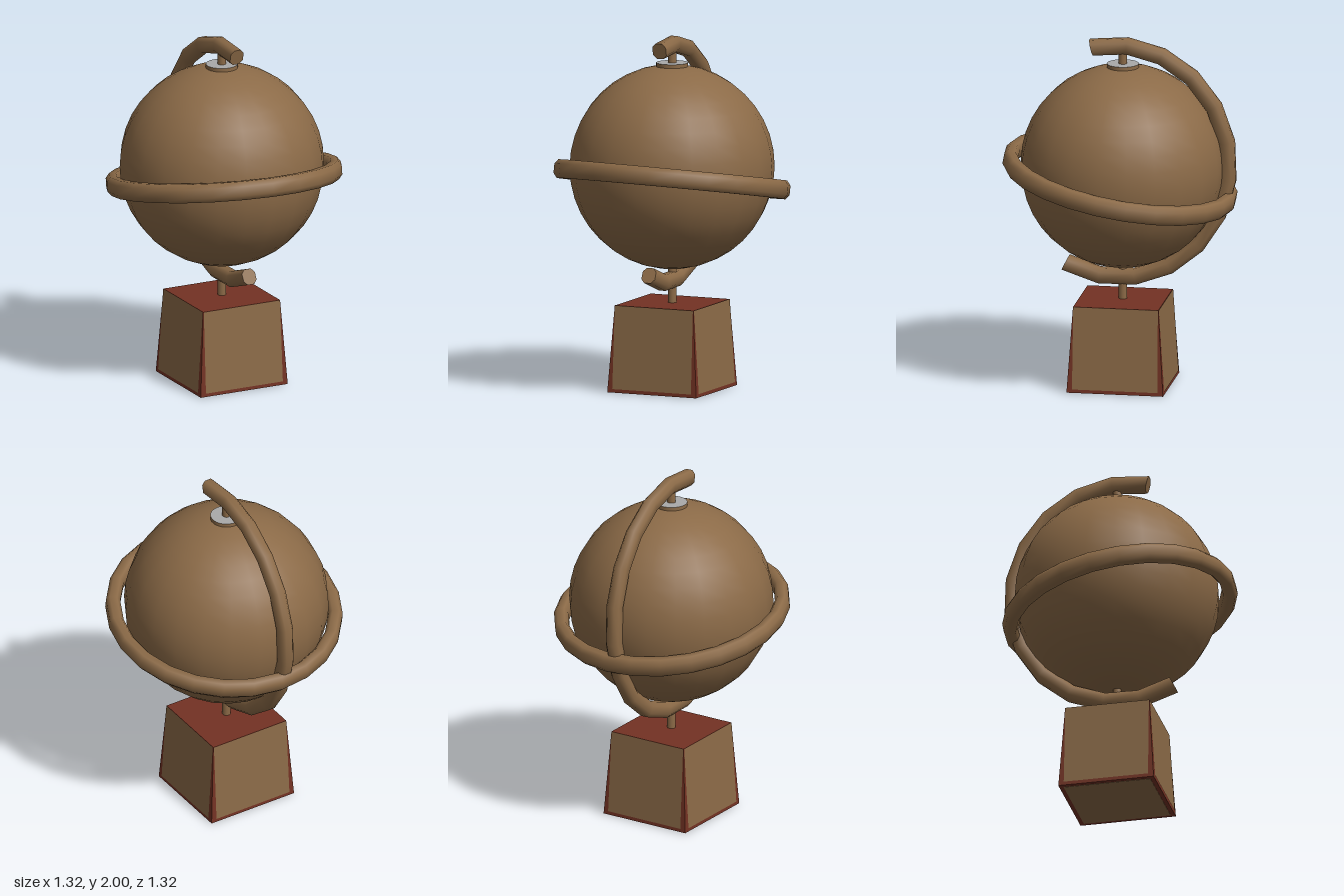
import * as THREE from 'three';
import { toCreasedNormals } from 'three/addons/utils/BufferGeometryUtils.js';

// Sweeps a bevelled bar (radial thickness x width) along an ellipse in the XY plane.
function sweptBar(rx, ry, t0, t1, steps, thick, width, closed) {
  const a = thick / 2, b = width / 2, k = 0.5;
  const section = [[a, -b * k], [a, b * k], [a * k, b], [-a * k, b],
    [-a, b * k], [-a, -b * k], [-a * k, -b], [a * k, -b]];
  const n = section.length, pos = [], index = [];
  const rows = closed ? steps : steps + 1;
  for (let i = 0; i < rows; i++) {
    const t = t0 + (t1 - t0) * i / steps, c = Math.cos(t), s = Math.sin(t);
    for (const [r, w] of section) pos.push(c * (rx + r), s * (ry + r), w);
  }
  for (let i = 0; i < steps; i++) {
    const p = i * n, q = ((i + 1) % rows) * n;
    for (let j = 0; j < n; j++) {
      const m = (j + 1) % n;
      index.push(p + j, q + j, q + m, p + j, q + m, p + m);
    }
  }
  if (!closed) {
    const e = steps * n;
    for (let j = 1; j < n - 1; j++) index.push(0, j, j + 1, e, e + j + 1, e + j);
  }
  const g = new THREE.BufferGeometry();
  g.setAttribute('position', new THREE.Float32BufferAttribute(pos, 3));
  g.setIndex(index);
  return toCreasedNormals(g, 0.95);
}

export function createModel() {
  const model = new THREE.Group();
  const mat = (name, color) => {
    const m = new THREE.MeshStandardMaterial({ color });
    m.name = name;
    return m;
  };
  const brown = mat('brown wood', 0x8b6a47);
  const red = mat('red wood', 0x733223);
  const grey = mat('grey metal', 0xaaaaaa);
  const AX = -0.016, AZ = -0.009;

  const add = (name, geometry, material, x, y, z) => {
    const mesh = new THREE.Mesh(geometry, material);
    mesh.name = name;
    mesh.position.set(x, y, z);
    model.add(mesh);
    return mesh;
  };

  // Globe on its vertical pin
  add('globe', new THREE.SphereGeometry(0.576, 22, 20), brown, AX, 1.26, AZ);
  add('pin', new THREE.CylinderGeometry(0.024, 0.024, 1.44, 12), brown, AX, 1.21, AZ);
  add('poleCap', new THREE.CylinderGeometry(0.09, 0.09, 0.03, 24), [brown, grey, brown], AX, 1.835, AZ);

  // Tilted horizon ring
  const ring = add('horizonRing', sweptBar(0.626, 0.626, 0, Math.PI * 2, 24, 0.08, 0.105, true),
    brown, 0, 1.19, -0.005);
  ring.quaternion.setFromUnitVectors(new THREE.Vector3(0, 0, 1),
    new THREE.Vector3(-0.14, 1, -0.125).normalize());

  // Curved arm holding the pin above and below the globe
  const ux = 0.817, uz = 0.576, shift = 0.033;
  const arm = add('meridianArm', sweptBar(0.635, 0.672, 1.34, 5.19, 12, 0.09, 0.082, false),
    brown, AX + ux * shift, 1.283, AZ + uz * shift);
  arm.rotation.y = -Math.atan2(uz, ux);

  // Tapered square base
  const H = 0.49, R0 = 0.388, R1 = 0.343, turn = 0.155;
  add('base', toCreasedNormals(new THREE.CylinderGeometry(R1, R0, H, 4, 1, false, turn), 0.5),
    red, AX, H / 2, AZ);

  // Side panels, leaving a border that narrows towards the top
  const corner = (i, y, off) => {
    const t = turn + i * Math.PI / 2, r = R0 + (R1 - R0) * y / H + off;
    return new THREE.Vector3(Math.sin(t) * r, y, Math.cos(t) * r);
  };
  const edge = (i, s, y) => corner(i, y, 0.004).lerp(corner(i + 1, y, 0.004), s);
  for (let i = 0; i < 4; i++) {
    const quad = [edge(i, 0.06, 0.02), edge(i, 0.94, 0.02), edge(i, 0.99, H), edge(i, 0.01, H)];
    const g = new THREE.BufferGeometry().setFromPoints(quad);
    g.setIndex([0, 1, 2, 0, 2, 3]);
    g.computeVertexNormals();
    add('sidePanel', g, brown, AX, 0, AZ);
  }

  // Underside panel
  const under = new THREE.CylinderGeometry(R0 - 0.035, R0 - 0.035, 0.004, 4, 1, false, turn);
  add('bottomPanel', toCreasedNormals(under, 0.5), brown, AX, 0, AZ);

  return model;
}
